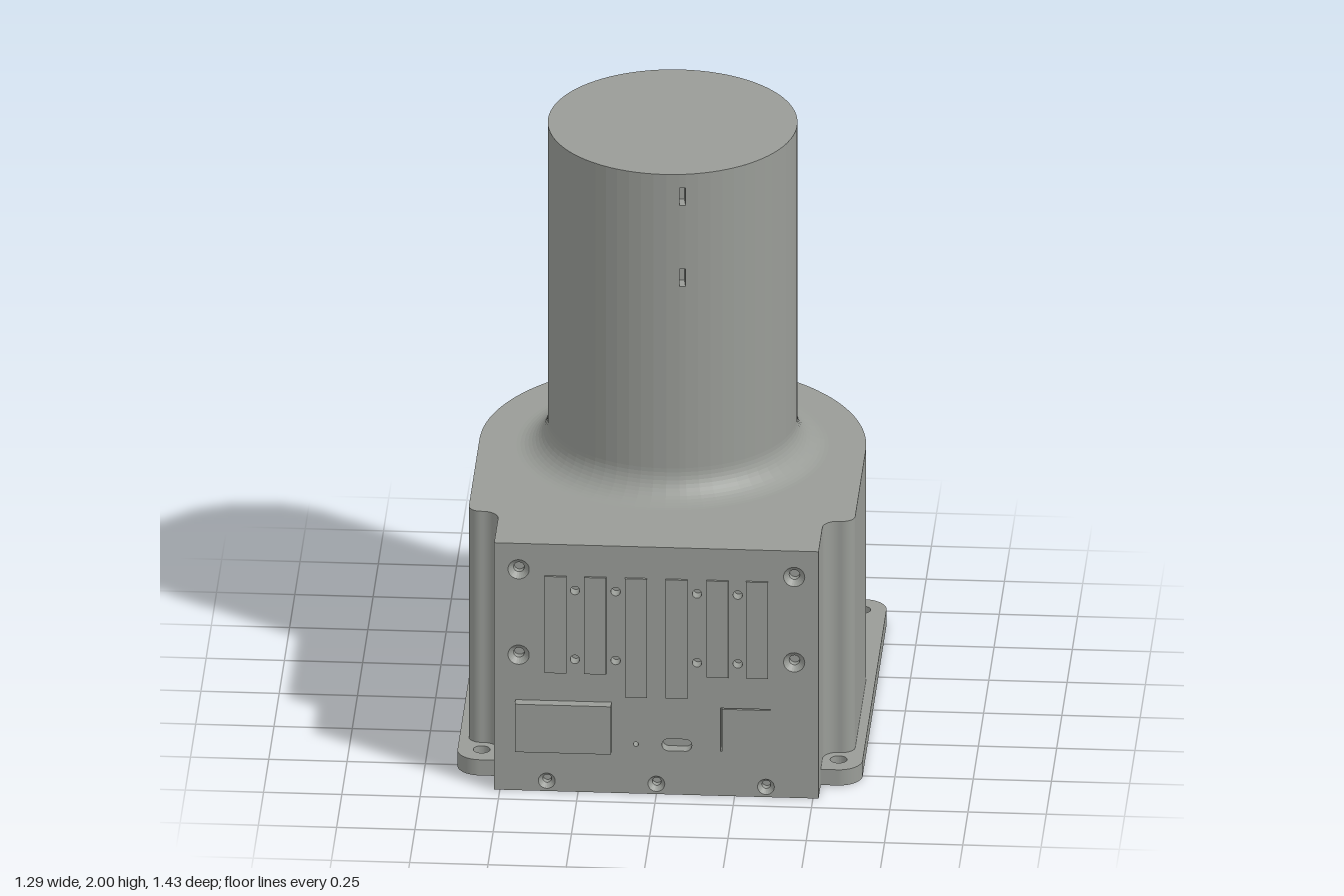
import * as THREE from 'three';

// Slightly greenish mid grey for the whole body
const color = 0x999c97;
const body = new THREE.MeshStandardMaterial({ color, flatShading: true });
const bodyDouble = new THREE.MeshStandardMaterial({ color, flatShading: true, side: THREE.DoubleSide });
const bodyInside = new THREE.MeshStandardMaterial({ color, flatShading: true, side: THREE.BackSide });

const TOP = 0.867;      // top of the housing
const HALF = 0.518;     // half width of the front panel
const RADIUS = 0.398;   // column radius

function add(group, name, geometry, material = body) {
  const mesh = new THREE.Mesh(geometry, material);
  mesh.name = name;
  group.add(mesh);
  return mesh;
}

function extrude(shape, depth, curveSegments) {
  return new THREE.ExtrudeGeometry(shape, { depth, bevelEnabled: false, curveSegments });
}

function circle(x, y, r) {
  return new THREE.Path().absarc(x, y, r, 0, Math.PI * 2, true);
}

// Rounded rectangle, usable as an outline or a hole
function roundRect(x0, y0, x1, y1, r) {
  const s = new THREE.Shape();
  s.absarc(x1 - r, y0 + r, r, -Math.PI / 2, 0);
  s.absarc(x1 - r, y1 - r, r, 0, Math.PI / 2);
  s.absarc(x0 + r, y1 - r, r, Math.PI / 2, Math.PI);
  s.absarc(x0 + r, y0 + r, r, Math.PI, Math.PI * 1.5);
  s.closePath();
  return s;
}

function box(x0, y0, z0, x1, y1, z1) {
  return new THREE.BoxGeometry(x1 - x0, y1 - y0, z1 - z0)
    .translate((x0 + x1) / 2, (y0 + y1) / 2, (z0 + z1) / 2);
}

// Plan shapes are drawn in (x, -z) and stood up along y
function basePlate() {
  const s = roundRect(-0.647, -0.577, 0.647, 0.717, 0.075);
  for (const x of [-0.57, 0.57]) for (const y of [-0.498, 0.638]) s.holes.push(circle(x, y, 0.027));
  return extrude(s, 0.055, 16).rotateX(-Math.PI / 2);
}

function housing(frontZ) {
  const s = new THREE.Shape();
  s.moveTo(-HALF, -frontZ);
  s.lineTo(HALF, -frontZ);
  s.lineTo(HALF, -0.495);
  s.absarc(HALF + 0.05, -0.495, 0.05, Math.PI, Math.PI / 2, true);
  s.absarc(0.577, -0.405, 0.04, -Math.PI / 2, 0);
  s.absarc(0, 0.1, 0.617, 0, Math.PI);
  s.absarc(-0.577, -0.405, 0.04, Math.PI, Math.PI * 1.5);
  s.absarc(-HALF - 0.05, -0.495, 0.05, Math.PI / 2, 0, true);
  s.closePath();
  return extrude(s, TOP, 30).rotateX(-Math.PI / 2);
}

// Upright cylinder with a flared foot and two pairs of small slots
function column() {
  const group = new THREE.Group();
  group.name = 'column';
  group.position.z = -0.1;
  const half = 0.025, first = 0.145;
  const slots = [[1.606, 1.667], [1.891, 1.952]];
  const foot = [];
  for (let i = 0; i <= 12; i++) {
    const a = -Math.PI / 2 - (i / 12) * Math.PI / 2;
    foot.push(new THREE.Vector2(RADIUS + 0.1 + 0.1 * Math.cos(a), TOP + 0.1 + 0.1 * Math.sin(a)));
  }
  const at = y => new THREE.Vector2(RADIUS, y);
  const [low, high] = slots;
  const strips = [[...foot, at(low[0])], [at(low[1]), at(high[0])], [at(high[1]), at(2)]];
  for (const phi of [first, first + Math.PI]) {
    add(group, 'columnWall', new THREE.LatheGeometry([...foot, at(2)], 30, phi + half, Math.PI - 2 * half));
    for (const p of strips) add(group, 'columnStrip', new THREE.LatheGeometry(p, 1, phi - half, 2 * half));
    for (const [y0, y1] of slots) {
      const pocket = box(-0.01, y0, RADIUS - 0.05, 0.01, y1, RADIUS - 0.0002).rotateY(phi);
      add(group, 'columnSlot', pocket, bodyInside);
    }
  }
  add(group, 'columnTop', new THREE.CircleGeometry(RADIUS, 90).rotateX(-Math.PI / 2).translate(0, 2, 0));
  return group;
}

// Countersink inside a screw hole
function screwSeat(rOut, rIn) {
  const p = [[rIn, -0.04], [rIn, -0.018], [rOut, 0]].map(([r, y]) => new THREE.Vector2(r, y));
  return new THREE.LatheGeometry(p, 24).rotateX(Math.PI / 2);
}

function frontPanel() {
  const group = new THREE.Group();
  group.name = 'frontPanel';
  const front = 0.68, back = 0.64;
  const s = new THREE.Shape();
  s.moveTo(-HALF, 0).lineTo(HALF, 0).lineTo(HALF, TOP).lineTo(-HALF, TOP).closePath();

  // Screw holes: four large around the connectors, three along the foot
  const screws = [];
  for (const x of [-0.44, 0.44]) for (const y of [0.476, 0.776]) screws.push([x, y, 0.034, 0.017]);
  for (const x of [-0.35, 0, 0.35]) screws.push([x, 0.036, 0.027, 0.014]);
  for (const [x, y, rOut, rIn] of screws) {
    s.holes.push(circle(x, y, rOut));
    add(group, 'screwSeat', screwSeat(rOut, rIn), bodyDouble).position.set(x, y, front);
  }

  // Connector screw holes, pinhole and small oval port
  for (const x of [-0.26, -0.13, 0.13, 0.26]) for (const y of [0.465, 0.707]) s.holes.push(circle(x, y, 0.015));
  s.holes.push(circle(-0.065, 0.173, 0.008));
  s.holes.push(roundRect(0.018, 0.153, 0.113, 0.195, 0.02));

  // Narrow groove along the top and left of the square port
  const groove = [[0.205, 0.155], [0.209, 0.155], [0.209, 0.304], [0.365, 0.304], [0.365, 0.308], [0.205, 0.308]];
  s.holes.push(new THREE.Path(groove.map(([x, y]) => new THREE.Vector2(x, y))).closePath());
  add(group, 'panelPlate', extrude(s, front - back, 12).translate(0, 0, back));

  // Raised connectors, mirrored about the middle
  for (const side of [-1, 1]) {
    for (const [x, y0] of [[0.065, 0.34], [0.195, 0.418], [0.322, 0.418]]) {
      const c = side * x;
      add(group, 'connector', box(c - 0.035, y0, front - 0.01, c + 0.035, 0.757, front + 0.008));
    }
  }
  add(group, 'powerSocket', box(-0.45, 0.15, front - 0.01, -0.143, 0.318, front + 0.035));
  return group;
}

export function createModel() {
  const model = new THREE.Group();
  model.name = 'columnOnHousing';
  add(model, 'basePlate', basePlate());
  add(model, 'housing', housing(0.64));
  model.add(column(), frontPanel());
  return model;
}
